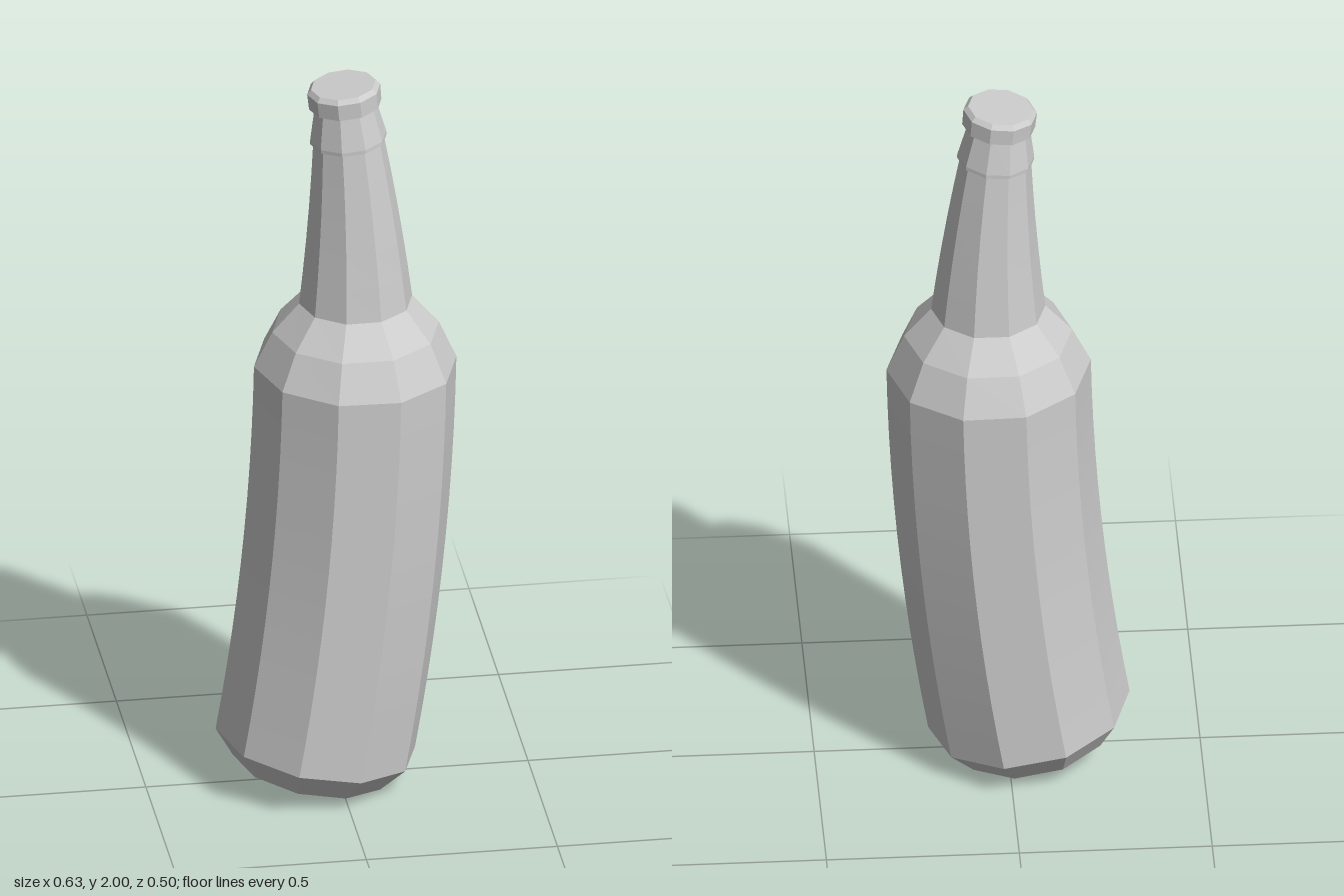
import * as THREE from 'three';

const SIDES = 10;
const BEND_RADIUS = 7; // radius of the arc the bottle's axis follows
const BEND_X = 0.049; // axis position where it is upright
const BEND_Y = 1.32;

// Bends an upright geometry along a circular arc in the x-y plane.
function bend(geometry) {
  const p = geometry.attributes.position;
  for (let i = 0; i < p.count; i++) {
    const x = p.getX(i);
    const a = (p.getY(i) - BEND_Y) / BEND_RADIUS;
    p.setXY(
      i,
      BEND_X - BEND_RADIUS * (1 - Math.cos(a)) + x * Math.cos(a),
      BEND_Y + BEND_RADIUS * Math.sin(a) + x * Math.sin(a)
    );
  }
  geometry.computeVertexNormals();
  return geometry;
}

// Splits long profile spans so that they can follow the bend.
function subdivide(profile, step = 0.1) {
  const points = [new THREE.Vector2(...profile[0])];
  for (let i = 1; i < profile.length; i++) {
    const a = new THREE.Vector2(...profile[i - 1]);
    const b = new THREE.Vector2(...profile[i]);
    const n = Math.max(1, Math.round(Math.abs(b.y - a.y) / step));
    for (let k = 1; k <= n; k++) points.push(a.clone().lerp(b, k / n));
  }
  return points;
}

export function createModel() {
  const group = new THREE.Group();
  group.name = 'bentBottle';

  const grey = new THREE.MeshStandardMaterial({ color: 0xcccccc, flatShading: true });
  grey.name = 'light grey';

  // Profiles as [radius, height], from bottom to top
  const parts = {
    body: [[0, 0.03], [0.206, 0.03], [0.265, 0.103], [0.265, 1.19]],
    shoulder: [[0.265, 1.19], [0.218, 1.29], [0.148, 1.37]],
    neck: [[0.148, 1.37], [0.092, 1.84]],
    collar: [[0.09, 1.835], [0.1, 1.835], [0.1, 1.845], [0.08, 1.942]],
    cap: [[0.078, 1.938], [0.095, 1.938], [0.096, 1.982], [0.085, 1.994], [0, 1.994]],
  };

  for (const [name, profile] of Object.entries(parts)) {
    // A corner of the ten-sided section points along x
    const lathe = new THREE.LatheGeometry(subdivide(profile), SIDES, Math.PI / 2);
    const mesh = new THREE.Mesh(bend(lathe), grey);
    mesh.name = name;
    group.add(mesh);
  }
  return group;
}
